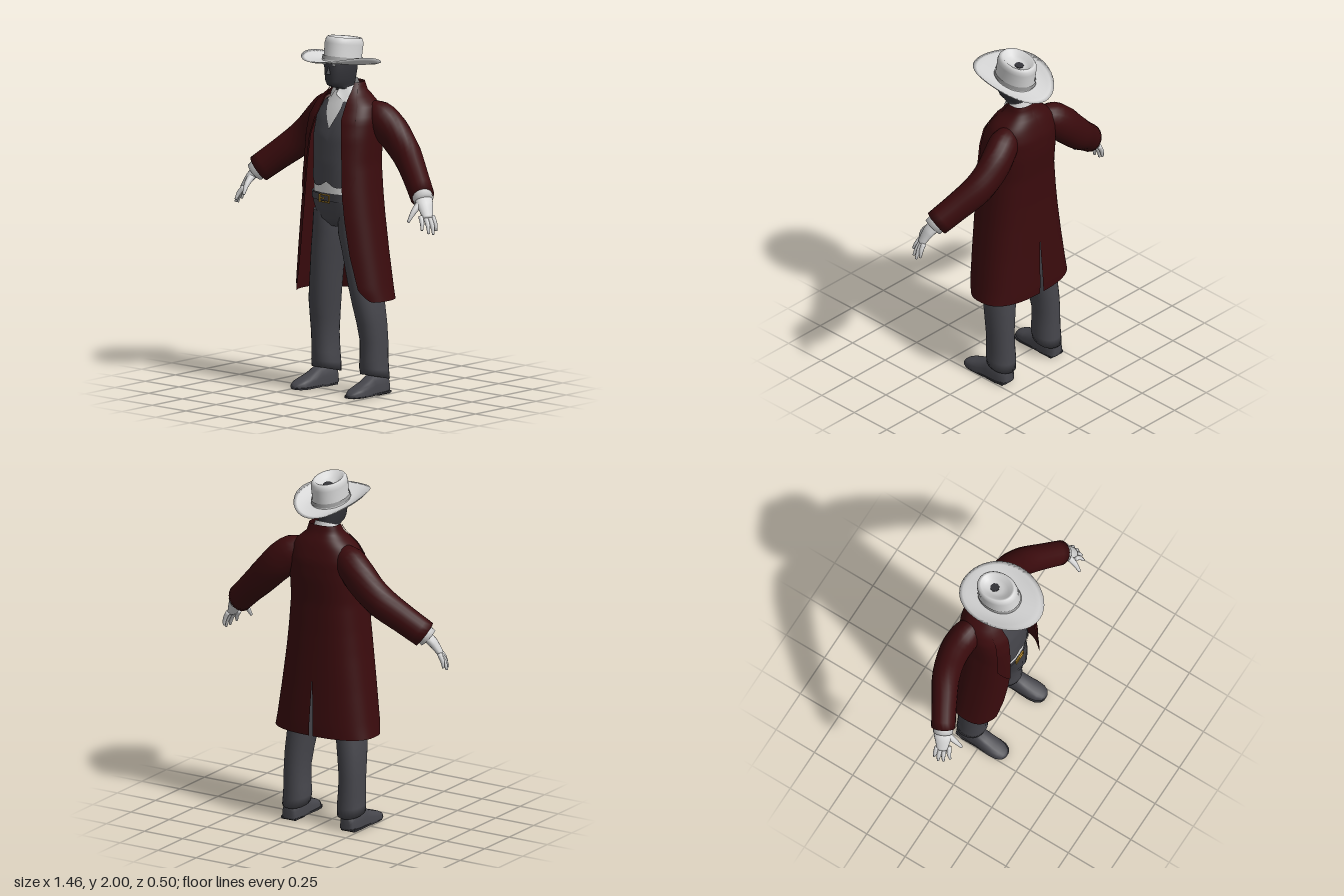
import * as THREE from 'three';
import { mergeVertices } from 'three/addons/utils/BufferGeometryUtils.js';

const mat = (name, color) => Object.assign(new THREE.MeshStandardMaterial({ color, side: THREE.DoubleSide }), { name });
const coatRed = mat('coat red', 0x3a0b0d), charcoal = mat('charcoal cloth', 0x46464c);
const dark = mat('dark mask', 0x35353a), white = mat('off white', 0xd6d6d6);
const bandGrey = mat('hat band grey', 0x9c9c9c), gold = mat('buckle gold', 0xc0922e);

const lerp = THREE.MathUtils.lerp;
const clamp01 = t => Math.min(1, Math.max(0, t));
const pw = (t, p) => Math.sign(t) * Math.abs(t) ** p;

// Smooth surface through fn(u, v) -> [x, y, z]; s = -1 mirrors it in x
function grid(fn, nu, nv, s = 1) {
  const pos = [], idx = [];
  for (let j = 0; j <= nv; j++) for (let i = 0; i <= nu; i++) {
    const [x, y, z] = fn(i / nu, j / nv);
    pos.push(x * s, y, z);
  }
  for (let j = 0; j < nv; j++) for (let i = 0; i < nu; i++) {
    const a = j * (nu + 1) + i, b = a + 1, c = a + nu + 1, d = c + 1;
    if (s > 0) idx.push(a, b, d, a, d, c); else idx.push(a, d, b, a, c, d);
  }
  let g = new THREE.BufferGeometry();
  g.setAttribute('position', new THREE.Float32BufferAttribute(pos, 3));
  g.setIndex(idx);
  g = mergeVertices(g, 1e-5);
  g.computeVertexNormals();
  return g;
}

const mixRows = (a, b, t) => a.map((v, k) => lerp(v, b[k], t));
function rowAt(rows, y) {
  let i = 0;
  while (i < rows.length - 2 && y > rows[i + 1][0]) i++;
  return mixRows(rows[i], rows[i + 1], clamp01((y - rows[i][0]) / (rows[i + 1][0] - rows[i][0])));
}
// Point of a section [y, half width, front z, back z] at an angle from the front
function onSection([y, w, zf, zb], a, p = 0.8, out = 0) {
  return [(w + out) * pw(Math.sin(a), p), y, (zf + zb) / 2 + ((zf - zb) / 2 + out) * pw(Math.cos(a), p)];
}
// Closed body from stacked sections; tilt slants the lowest rows
function stack(rows, { p = 0.8, cx = 0, s = 1, out = 0, nu = 32 } = {}) {
  return grid((u, v) => {
    const r = rows[Math.round(v * (rows.length - 1))];
    const q = onSection(r, u * Math.PI * 2, p, out);
    return [q[0] + (r[4] ?? cx), q[1] + (r[5] ?? 0) * (q[2] - (r[2] + r[3]) / 2), q[2]];
  }, nu, rows.length - 1, s);
}
// Round limb along a path, closed at both ends; k widens it sideways
function limb(pts, radii, s, k = 1, nu = 16, nv = 16) {
  const curve = new THREE.CatmullRomCurve3(pts.map(q => new THREE.Vector3(...q)));
  const up = new THREE.Vector3(0, 1, 0);
  return grid((u, v) => {
    const t = clamp01((v * (nv + 2) - 1) / nv), f = t * (radii.length - 1), i = Math.min(Math.floor(f), radii.length - 2);
    const r = v === 0 || v === 1 ? 0 : lerp(radii[i], radii[i + 1], f - i);
    const T = curve.getTangent(t), N = T.clone().cross(up).normalize(), B = T.clone().cross(N);
    const a = u * Math.PI * 2;
    return curve.getPoint(t).addScaledVector(N, Math.cos(a) * r * k).addScaledVector(B, Math.sin(a) * r).toArray();
  }, nu, nv + 2, s);
}

// Rows: y, half width, front z, back z (coat adds half the opening)
const COAT = [[0.54, 0.31, 0.13, -0.22, 0.235], [0.6, 0.3, 0.148, -0.22, 0.225], [0.8, 0.272, 0.157, -0.21, 0.18],
  [1, 0.245, 0.162, -0.203, 0.15], [1.13, 0.23, 0.16, -0.2, 0.135], [1.3, 0.213, 0.152, -0.2, 0.125],
  [1.45, 0.213, 0.135, -0.212, 0.112], [1.55, 0.21, 0.105, -0.21, 0.092], [1.62, 0.185, 0.062, -0.19, 0.085],
  [1.66, 0.14, 0.04, -0.175, 0.08], [1.69, 0.105, 0.015, -0.155, 0.075], [1.74, 0.088, -0.015, -0.14, 0.072]];
const TORSO = [[1.1, 0.168, 0.112, -0.16], [1.3, 0.158, 0.11, -0.16], [1.45, 0.168, 0.1, -0.17],
  [1.55, 0.16, 0.075, -0.165], [1.62, 0.125, 0.045, -0.15], [1.66, 0.08, 0.03, -0.125], [1.71, 0.06, 0.012, -0.115]];
const HIPS = [[0.93, 0, -0.03, -0.03], [0.935, 0.1, 0.05, -0.11], [0.98, 0.15, 0.09, -0.145],
  [1.06, 0.172, 0.108, -0.158], [1.13, 0.173, 0.117, -0.163]];
const HEAD = [[1.64, 0.055, 0.005, -0.11], [1.705, 0.054, 0.02, -0.1], [1.717, 0.045, 0.06, -0.098], [1.73, 0.05, 0.09, -0.098],
  [1.755, 0.058, 0.1, -0.1], [1.8, 0.068, 0.1, -0.104], [1.85, 0.073, 0.1, -0.107], [1.9, 0.068, 0.088, -0.1],
  [1.93, 0.05, 0.06, -0.08], [1.94, 0, -0.01, -0.01]];
// Leg rows add centre x and slant
const LEG = [[0.095, 0, -0.085, -0.085, 0.18, 0.15], [0.095, 0.077, 0, -0.168, 0.18, 0.25], [0.14, 0.077, 0.008, -0.166, 0.177, 0.15],
  [0.2, 0.073, 0.007, -0.162, 0.178, 0], [0.3, 0.071, 0.01, -0.16, 0.18, 0], [0.4, 0.075, 0.028, -0.158, 0.173, 0],
  [0.5, 0.079, 0.05, -0.153, 0.162, 0], [0.6, 0.08, 0.062, -0.145, 0.145, 0], [0.8, 0.081, 0.082, -0.135, 0.115, 0],
  [0.9, 0.088, 0.088, -0.135, 0.096, 0], [1.02, 0.085, 0.09, -0.14, 0.088, 0]];
const CROWN = [[0, 0.098, 0.112, -0.138], [0.03, 0.09, 0.106, -0.132], [0.105, 0.092, 0.108, -0.134], [0.128, 0.089, 0.102, -0.13],
  [0.142, 0.08, 0.092, -0.12], [0.14, 0.07, 0.08, -0.108], [0.118, 0.05, 0.055, -0.09], [0.108, 0.03, 0.02, -0.06], [0.106, 0, -0.025, -0.025]];

export function createModel() {
  const model = new THREE.Group();
  const add = (name, geo, m, parent = model) => {
    const mesh = new THREE.Mesh(geo, m);
    mesh.name = name;
    parent.add(mesh);
    return mesh;
  };

  // Body and clothes under the coat
  add('head', stack(HEAD), dark);
  add('shirt', stack(TORSO), white);
  add('trouserHips', stack(HIPS), charcoal);
  add('belt', stack([[1.085, 0.173, 0.114, -0.161], [1.125, 0.174, 0.118, -0.164]], { out: 0.004 }), charcoal);
  add('vest', grid((u, v) => {
    const a = u * Math.PI * 2, x = Math.abs(onSection(TORSO[1], a)[0]), front = Math.cos(a) > 0;
    const low = front ? 1.165 + 0.03 * Math.exp(-((x / 0.03) ** 2)) + 0.05 * clamp01((x - 0.085) / 0.05) : 1.165;
    const high = front ? Math.min(1.64, 1.49 + x * 2) : 1.64;
    return onSection(rowAt(TORSO, lerp(low, high, v)), a, 0.8, 0.007);
  }, 64, 20), charcoal);
  const nose = add('nose', new THREE.ConeGeometry(0.014, 0.045, 8), dark);
  nose.position.set(0, 1.82, 0.1);
  nose.scale.z = 1.3;

  // Buckle frame with prong
  for (const [x, y, w, h] of [[-0.012, 1.12, 0.075, 0.006], [-0.012, 1.08, 0.075, 0.006], [-0.047, 1.1, 0.006, 0.04],
    [0.023, 1.1, 0.006, 0.04], [-0.03, 1.1, 0.03, 0.006]])
    add('buckle', new THREE.BoxGeometry(w, h, 0.008), gold).position.set(x, y, 0.123);

  // Point on the coat: distance round from the front edge (0) to the back seam (1)
  const coatPoint = (u, y, out = 0) => {
    const r = rowAt(COAT, y), angle = d => Math.asin(clamp01(d / r[1]) ** 1.25);
    return onSection(r, lerp(angle(r[4]), Math.PI - angle(0.012 * clamp01((0.88 - y) / 0.3)), u), 0.8, out);
  };

  for (const s of [1, -1]) {
    const side = s > 0 ? 'left' : 'right';
    // Coat half with rounded front corner, lapel and sleeve
    add(side + 'CoatHalf', grid((u, v) => {
      const low = 0.54 + 0.07 * Math.max(0, 1 - u / 0.14) ** 2;
      return coatPoint(u, lerp(low, 1.74, v));
    }, 40, 48, s), coatRed);
    add(side + 'Lapel', grid((u, v) => {
      const y = lerp(1.1, 1.735, v);
      return coatPoint(u * 0.17 * clamp01((y - 1.08) / 0.15), y, 0.007);
    }, 6, 24, s), coatRed);
    add(side + 'Sleeve', limb([[0.12, 1.575, -0.09], [0.19, 1.545, -0.11], [0.26, 1.485, -0.127], [0.33, 1.415, -0.128],
      [0.4, 1.35, -0.112], [0.5, 1.265, -0.06], [0.605, 1.175, 0]], [0.07, 0.098, 0.1, 0.094, 0.09, 0.082, 0.078], s, 0.86, 20, 20), coatRed);
    add(side + 'ShirtCuff', limb([[0.58, 1.2, -0.012], [0.625, 1.155, 0.01]], [0.056, 0.056], s, 1, 16, 2), white);

    // Hand
    add(side + 'Palm', limb([[0.61, 1.17, 0], [0.645, 1.13, 0.022], [0.685, 1.065, 0.042]], [0.03, 0.027, 0.017], s, 1.75), white);
    [[0.655, 1.075, 0.07, 0.69, 1.005, 0.098], [0.672, 1.07, 0.05, 0.715, 0.985, 0.07],
      [0.685, 1.07, 0.032, 0.725, 0.978, 0.042], [0.692, 1.075, 0.014, 0.72, 0.995, 0.014]].forEach(([x, y, z, tx, ty, tz]) =>
      add(side + 'Finger', limb([[x, y, z], [(x + tx) / 2 + 0.007, (y + ty) / 2, (z + tz) / 2], [tx, ty, tz]],
        [0.014, 0.0125, 0.007], s, 1, 8, 6), white));
    add(side + 'Thumb', limb([[0.62, 1.145, 0.03], [0.618, 1.1, 0.085], [0.61, 1.045, 0.122]], [0.022, 0.016, 0.008], s, 1, 8, 6), white);

    // Shirt collar flap with a front point
    add(side + 'ShirtCollar', grid((u, v) => {
      const a = lerp(0.12, Math.PI, u), f = (1 + Math.cos(a)) / 2, tip = Math.exp(-(((a - 0.6) / 0.4) ** 2));
      const r = lerp(0.078, 0.062, v), y = lerp(1.69 - 0.045 * tip, 1.755 - 0.045 * f, v);
      return [r * Math.sin(a) * 1.08, y, -0.05 + (r + lerp(0.022, 0.008, v) * f) * Math.cos(a)];
    }, 24, 3, s), white);

    // Trouser leg and shoe
    add(side + 'TrouserLeg', stack(LEG, { p: 0.95, s, nu: 24 }), charcoal);
    const shoe = [[-0.155, 0.02, 0.07], [-0.15, 0.042, 0.1], [-0.1, 0.052, 0.115], [-0.02, 0.05, 0.115], [0.03, 0.053, 0.086],
      [0.08, 0.055, 0.068], [0.12, 0.05, 0.054], [0.148, 0.035, 0.04], [0.16, 0.012, 0.026]];
    const ends = [[-0.155, 0, 0.03], ...shoe, [0.16, 0, 0.02]];
    add(side + 'Shoe', grid((u, v) => {
      const [z, w, h] = ends[Math.round(v * (ends.length - 1))], a = u * Math.PI * 2;
      return [0.197 + z * 0.05 + w * pw(Math.cos(a), 0.75), Math.max(0.012, 0.015 + (h - 0.015) * pw(Math.sin(a), 0.7)), z];
    }, 20, ends.length - 1, s), charcoal);
    const outline = new THREE.Shape([...shoe.map(([z, w]) => [w + 0.002, z]), ...shoe.map(([z, w]) => [-w - 0.002, z]).reverse()]
      .map(([x, z]) => new THREE.Vector2(x, -z)));
    const sole = add(side + 'Sole', new THREE.ExtrudeGeometry(outline, { depth: 0.01, bevelEnabled: false }), dark);
    sole.rotation.x = -Math.PI / 2;
    sole.position.set(s * 0.197, 0.006, 0);
    add(side + 'Heel', new THREE.BoxGeometry(0.09, 0.018, 0.1), dark).position.set(s * 0.194, 0.009, -0.095);

    const eye = add(side + 'Eye', new THREE.SphereGeometry(0.013, 10, 8), white);
    eye.scale.set(1, 0.45, 0.3);
    eye.position.set(s * 0.036, 1.85, 0.095);
  }

  // Hat, tipped back
  const hat = new THREE.Group();
  hat.name = 'hat';
  hat.position.y = 1.85;
  hat.rotation.x = -0.15;
  model.add(hat);
  add('hatCrown', stack(CROWN, { p: 0.95, nu: 40 }), white, hat);
  add('hatBand', stack([[0.012, 0.094, 0.109, -0.135], [0.034, 0.09, 0.106, -0.132]], { p: 0.95, out: 0.006, nu: 40 }), bandGrey, hat);
  add('hatBrim', grid((u, v) => {
    const a = u * Math.PI * 2, t = 1 - Math.abs(2 * v - 1), thick = v > 0.5 ? 0.004 : -0.004;
    const curl = 0.052 * Math.sin(a) ** 2 * t * t;
    return [lerp(0.085, 0.195, t) * Math.sin(a), curl + (t === 1 ? 0 : thick) - 0.004 * t, lerp(-0.013, 0, t) + lerp(0.115, 0.252, t) * Math.cos(a)];
  }, 48, 12), white, hat);
  const dent = add('crownHole', new THREE.CylinderGeometry(0.026, 0.026, 0.008, 8), dark, hat);
  dent.position.set(0, 0.108, -0.03);
  return model;
}
